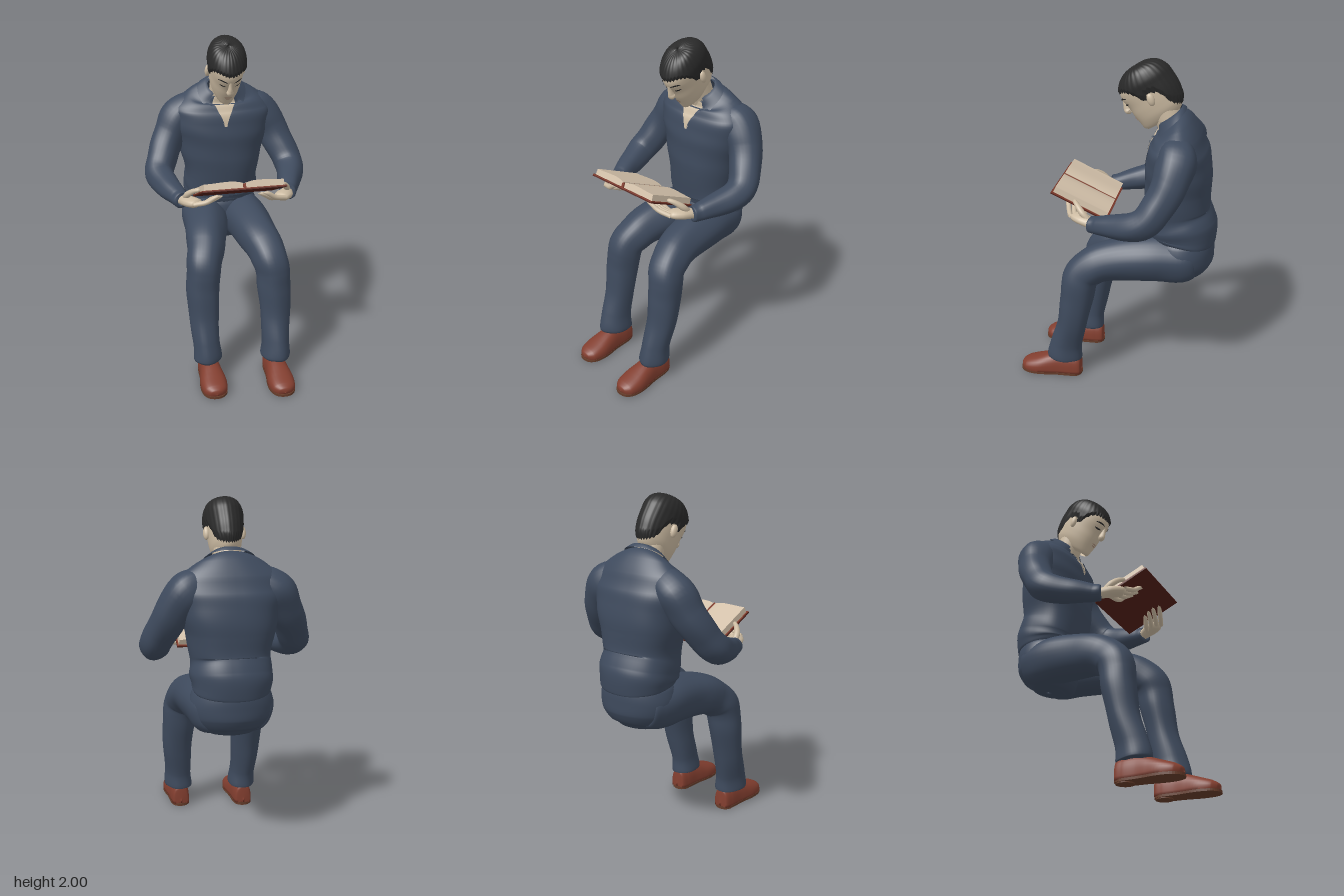
import * as THREE from 'three';
import { ParametricGeometry } from 'three/addons/geometries/ParametricGeometry.js';

const mat = (name, color, side = THREE.FrontSide) => {
  const m = new THREE.MeshStandardMaterial({ color, side });
  m.name = name;
  return m;
};
const V = (x, y, z) => new THREE.Vector3(x, y, z);
const lerp = THREE.MathUtils.lerp;
const power = (c, p) => Math.sign(c) * Math.abs(c) ** p;

// Sweep of rings [x, y, z, rx, ry]; returns a surface point function at(s, angle, offset).
// A squareness below 1 makes the ellipses boxier.
function sweep(sections, ref = V(1, 0, 0), fold = 0, square = 1) {
  const n = sections.length - 1;
  const path = new THREE.CatmullRomCurve3(sections.map(s => V(s[0], s[1], s[2])));
  const radii = new THREE.CatmullRomCurve3(sections.map(s => V(s[3], s[4], 0)), false, 'catmullrom', 0.5);
  let u = ref.clone();
  const frames = sections.map((_, i) => {
    const t = path.getTangent(i / n);
    u = u.clone().addScaledVector(t, -u.dot(t)).normalize();
    return u;
  });
  return (s, a, off = 0) => {
    s = Math.min(1, Math.max(0, s));
    const k = Math.min(n - 1, Math.floor(s * n)), t = path.getTangent(s), r = radii.getPoint(s);
    const x = frames[k].clone().lerp(frames[k + 1], s * n - k);
    x.addScaledVector(t, -x.dot(t)).normalize();
    const y = t.clone().cross(x);
    const f = 1 + fold * Math.sin(3 * a + 26 * s) * Math.sin(2 * a - 17 * s);
    return path.getPoint(s)
      .addScaledVector(x, (Math.max(r.x, 0.0005) * f + off) * power(Math.cos(a), square))
      .addScaledVector(y, (Math.max(r.y, 0.0005) * f + off) * power(Math.sin(a), square));
  };
}
const surface = (fn, nu, nv) => new ParametricGeometry((u, v, p) => p.copy(fn(u, v)), nu, nv);
const skinOf = (at, nu = 24, nv = 40) => surface((u, v) => at(v, u * Math.PI * 2), nu, nv);

export function createModel() {
  const root = new THREE.Group();
  root.name = 'seatedReader';
  const cloth = mat('blueCloth', 0x3e4a5d, THREE.DoubleSide);
  const skin = mat('skin', 0xcdbca3, THREE.DoubleSide);
  const hairMat = mat('blackHair', 0x292929, THREE.DoubleSide);
  const lip = mat('lips', 0xa88a76, THREE.DoubleSide);
  const leather = mat('shoeLeather', 0x823e2f);
  const soleMat = mat('shoeSole', 0x653c2a);
  const coverMat = mat('bookCover', 0x521f18);
  const liningMat = mat('bookLining', 0x7f3a2b);
  const paper = mat('paper', 0xd3c1aa);
  const add = (name, geo, m, parent = root) => {
    const mesh = new THREE.Mesh(geo, m);
    mesh.name = name;
    parent.add(mesh);
    return mesh;
  };

  // Shirt body
  const torso = sweep([
    [0, 0.925, -0.385, 0.1, 0.1], [0, 0.94, -0.385, 0.205, 0.185], [0, 0.98, -0.39, 0.225, 0.2],
    [0, 1.04, -0.38, 0.232, 0.2], [0, 1.12, -0.358, 0.225, 0.19], [0, 1.25, -0.355, 0.25, 0.193],
    [0, 1.38, -0.352, 0.28, 0.19], [0, 1.48, -0.345, 0.305, 0.173], [0, 1.56, -0.34, 0.295, 0.142],
    [0, 1.625, -0.325, 0.21, 0.11], [0, 1.665, -0.295, 0.09, 0.08],
  ], V(1, 0, 0), 0.02, 0.85);
  add('shirt', skinOf(torso, 64, 60), cloth);

  // Open neckline, placket and folded collar
  const front = -Math.PI / 2;
  const opening = w => 0.01 + 0.24 * w + 0.35 * w ** 4;
  add('openNeckline', surface((u, v) => torso(lerp(0.68, 1, v), front + (u * 2 - 1) * opening(v), 0.004), 12, 16), skin);
  add('placket', surface((u, v) => torso(lerp(0.1, 0.69, v), front + (u * 2 - 1) * 0.05, 0.004), 4, 30), cloth);
  add('collar', surface((u, v) => {
    const a = front + 0.6 + u * (Math.PI * 2 - 1.2);
    const tip = Math.pow(Math.abs(u * 2 - 1), 8);
    const p = torso(lerp(1, 0.965 - 0.04 * tip, v), a, lerp(0, 0.014, Math.sqrt(v)));
    p.y += 0.024 * (1 - v);
    return p;
  }, 48, 6), cloth);
  for (const s of [-1, 1]) {
    add('lapel', surface((u, v) => torso(lerp(0.69, 0.98, v), front + s * (opening(v * 0.95) + (u - 0.1) * 0.14 * v), 0.009), 4, 14), cloth);
  }

  // Neck
  add('neck', skinOf(sweep([[0, 1.53, -0.345, 0.08, 0.08], [0, 1.63, -0.3, 0.078, 0.079], [0, 1.76, -0.24, 0.077, 0.083]])), skin);

  // Head, bowed towards the book: rows are [height, front, back, half width]
  const head = new THREE.Group();
  head.name = 'head';
  head.position.set(0, 1.788, -0.184);
  head.rotation.x = 0.56;
  root.add(head);
  const rows = [
    [-0.157, 0.118, 0.02, 0.03], [-0.142, 0.132, -0.1, 0.058], [-0.1, 0.138, -0.145, 0.081],
    [-0.05, 0.145, -0.16, 0.092], [0, 0.147, -0.167, 0.098], [0.06, 0.157, -0.165, 0.102],
    [0.105, 0.145, -0.158, 0.102], [0.15, 0.104, -0.13, 0.086], [0.176, 0.052, -0.08, 0.056], [0.184, -0.015, -0.016, 0.0005],
  ];
  const heights = new THREE.CatmullRomCurve3(rows.map(r => V(r[0], 0, 0)), false, 'catmullrom', 0.5);
  const widths = new THREE.CatmullRomCurve3(rows.map(r => V(r[1], r[2], r[3])), false, 'catmullrom', 0.5);
  const headAt = (row, a, off = 0) => {
    const s = Math.min(1, Math.max(0, row / 9)), w = widths.getPoint(s);
    const out = off * Math.min(1, (1 - s) * 12);
    return V((w.z + out) * Math.sin(a), heights.getPoint(s).x + off * s * s,
      (w.x + w.y) / 2 + ((w.x - w.y) / 2 + out) * Math.cos(a));
  };
  add('face', surface((u, v) => headAt(v * 9, u * Math.PI * 2), 40, 40), skin, head);

  // Hair shell with a hairline that drops at the sideburns and nape
  const hairline = new THREE.SplineCurve([
    [0, 5.85], [0.7, 5.9], [1.1, 5.3], [1.4, 4.1], [1.6, 4.5], [1.95, 4.2], [2.25, 2.5], [2.7, 1.8], [3.15, 1.6],
  ].map(p => new THREE.Vector2(...p)));
  const lineAt = a => {
    let lo = 0, hi = 1;
    for (let i = 0; i < 18; i++) {
      const m = (lo + hi) / 2;
      if (hairline.getPoint(m).x < a) lo = m; else hi = m;
    }
    return hairline.getPoint(lo).y + 0.12 * Math.sin(a * 37);
  };
  add('hair', surface((u, v) => {
    const a = (u * 2 - 1) * Math.PI;
    const off = 0.012 * Math.min(1, 0.3 + v * 6) + 0.0005 * Math.sin(a * 29);
    return headAt(lerp(lineAt(Math.abs(a)), 9, v), a, off);
  }, 120, 28), hairMat, head);

  // Facial features
  add('nose', skinOf(sweep([
    [0, 0.06, 0.15, 0.009, 0.008], [0, 0.035, 0.154, 0.011, 0.014], [0, 0.005, 0.162, 0.015, 0.02],
    [0, -0.012, 0.164, 0.021, 0.02], [0, -0.024, 0.155, 0.012, 0.012], [0, -0.027, 0.15, 0.002, 0.002],
  ]), 14, 18), skin, head);
  const patch = (name, m, r0, r1, a0, a1, bow) => add(name, surface((u, v) => {
    const k = Math.sin(Math.PI * u);
    return headAt(lerp(r0, r1, 0.5 + (v - 0.5) * (0.25 + 0.75 * k)) + bow * k, lerp(a0, a1, u), 0.004);
  }, 10, 4), m, head);
  for (const s of [-1, 1]) {
    const c = s * 0.46;
    patch('eyebrow', hairMat, 4.92, 5.13, c - 0.28, c + 0.28, 0.12);
    patch('eye', hairMat, 4.38, 4.55, c - 0.18, c + 0.18, -0.04);
    const ear = add('ear', new THREE.SphereGeometry(1, 14, 10), skin, head);
    ear.scale.set(0.017, 0.038, 0.022);
    ear.position.set(s * 0.105, 0, -0.015);
    ear.rotation.set(-0.2, s * 0.3, 0);
  }
  patch('upperLip', lip, 2.5, 2.66, -0.24, 0.24, 0.03);
  patch('lowerLip', lip, 2.3, 2.47, -0.2, 0.2, -0.04);

  // Seat of the trousers
  add('trouserSeat', skinOf(sweep([
    [0, 0.685, -0.4, 0, 0], [0, 0.692, -0.4, 0.12, 0.09], [0, 0.72, -0.395, 0.18, 0.15], [0, 0.78, -0.388, 0.225, 0.187],
    [0, 0.86, -0.385, 0.24, 0.195], [0, 0.93, -0.385, 0.225, 0.192], [0, 0.98, -0.385, 0.19, 0.17],
  ]), 40, 30), cloth);

  // Shoe outline shared by soles
  const outline = new THREE.Shape();
  outline.moveTo(0, 0);
  outline.bezierCurveTo(0.085, 0, 0.05, 0.1, 0.07, 0.2);
  outline.bezierCurveTo(0.09, 0.3, 0.08, 0.395, 0, 0.395);
  outline.bezierCurveTo(-0.08, 0.395, -0.09, 0.3, -0.07, 0.2);
  outline.bezierCurveTo(-0.05, 0.1, -0.085, 0, 0, 0);

  const underBook = z => 1.1 + 0.4545 * (z - 0.03);

  for (const s of [-1, 1]) {
    const dz = s > 0 ? 0.035 : -0.02;
    const side = s > 0 ? 'left' : 'right';

    // Trouser leg
    add(side + 'Leg', skinOf(sweep([
      [0.1, 0.835, -0.5, 0.02, 0.02], [0.1, 0.835, -0.48, 0.1, 0.11], [0.11, 0.832, -0.4, 0.133, 0.14], [0.125, 0.833, -0.25, 0.14, 0.143],
      [0.15, 0.817, -0.05 + dz / 2, 0.127, 0.13], [0.175, 0.775, 0.08 + dz, 0.115, 0.116], [0.195, 0.722, 0.15 + dz, 0.107, 0.11],
      [0.207, 0.65, 0.176 + dz, 0.102, 0.106], [0.213, 0.54, 0.19 + dz, 0.1, 0.1], [0.215, 0.38, 0.22 + dz, 0.09, 0.09],
      [0.208, 0.22, 0.26 + dz, 0.08, 0.098], [0.205, 0.125, 0.275 + dz, 0.085, 0.107], [0.205, 0.12, 0.275 + dz, 0.05, 0.06],
    ].map(p => [p[0] * s, ...p.slice(1)]), V(1, 0, 0), 0.035), 32, 64), cloth);

    // Shoe: upper with a flattened base, sole and heel
    const shoe = new THREE.Group();
    shoe.name = side + 'Shoe';
    shoe.position.set(s * 0.2, 0, s > 0 ? 0.2 : 0.14);
    root.add(shoe);
    const upper = sweep([
      [0, 0.035, 0.002, 0, 0], [0, 0.035, 0.01, 0.045, 0.09], [0, 0.035, 0.06, 0.058, 0.108], [0, 0.035, 0.14, 0.062, 0.11],
      [0, 0.035, 0.2, 0.07, 0.097], [0, 0.035, 0.28, 0.079, 0.069], [0, 0.034, 0.35, 0.068, 0.045],
      [0, 0.032, 0.382, 0.037, 0.026], [0, 0.03, 0.392, 0, 0],
    ], V(1, 0, 0), 0, 0.85);
    add('shoeUpper', surface((u, v) => {
      const p = upper(v, u * Math.PI * 2);
      p.y = Math.max(p.y, 0.016);
      return p;
    }, 28, 36), leather, shoe);
    const sole = new THREE.ExtrudeGeometry(outline, { depth: 0.014, bevelEnabled: false, curveSegments: 14 });
    sole.rotateX(Math.PI / 2).translate(0, 0.02, 0);
    add('sole', sole, soleMat, shoe);
    const heel = add('heel', new THREE.CylinderGeometry(0.052, 0.052, 0.016, 20), soleMat, shoe);
    heel.position.set(0, 0.008, 0.056);

    // Sleeve, bent at the elbow
    add(side + 'Sleeve', skinOf(sweep([
      [0.12, 1.53, -0.35, 0.06, 0.06], [0.175, 1.53, -0.36, 0.098, 0.098], [0.25, 1.485, -0.365, 0.115, 0.115], [0.318, 1.38, -0.34, 0.102, 0.102],
      [0.376, 1.26, -0.28, 0.093, 0.093], [0.408, 1.172, -0.2, 0.087, 0.087], [0.372, 1.132, -0.06, 0.073, 0.073],
      [0.332, 1.112, 0.06, 0.054, 0.054], [0.32, 1.107, 0.105, 0.047, 0.047], [0.318, 1.107, 0.11, 0.03, 0.03],
    ].map(p => [p[0] * s, ...p.slice(1)]), V(0, 0, 1), 0.035), 28, 50), cloth);

    // Hand holding the book from below
    const hand = new THREE.Group();
    hand.name = side + 'Hand';
    root.add(hand);
    const digit = (name, pts) => add(name, skinOf(sweep(pts.map(p => [p[0] * s, ...p.slice(1)]), V(0, 1, 0)), 12, 16), skin, hand);
    digit('palm', [[0.32, 1.107, 0.06, 0.033, 0.035], [0.308, 1.112, 0.11, 0.03, 0.038], [0.282, 1.12, 0.16, 0.03, 0.05],
      [0.25, 1.125, 0.205, 0.024, 0.045], [0.235, 1.13, 0.222, 0.004, 0.01]]);
    for (let i = 0; i < 4; i++) {
      const z = 0.14 + i * 0.032, x = 0.1 + 0.018 * Math.abs(i - 1.6);
      digit('finger', [[0.27, 1.105 + i * 0.008, z, 0.014, 0.014], [0.2, underBook(z) - 0.045, z + 0.025, 0.0145, 0.0145],
        [x + 0.025, underBook(z + 0.04) - 0.03, z + 0.04, 0.012, 0.012], [x, underBook(z + 0.045) - 0.026, z + 0.045, 0.003, 0.003]]);
    }
    digit('thumb', [[0.305, 1.125, 0.12, 0.016, 0.016], [0.295, 1.165, 0.16, 0.019, 0.019],
      [0.265, 1.197, 0.195, 0.015, 0.015], [0.238, 1.208, 0.215, 0.012, 0.012], [0.228, 1.209, 0.222, 0.003, 0.003]]);
  }

  // Open book
  const book = new THREE.Group();
  book.name = 'book';
  book.position.set(0, 1.172, 0.195);
  book.rotation.x = -0.426;
  root.add(book);
  const slab = (name, w, h, d, y, m) => { add(name, new THREE.BoxGeometry(w, h, d), m, book).position.y = y; };
  slab('outerCover', 0.484, 0.006, 0.362, 0.003, coverMat);
  slab('coverLining', 0.482, 0.006, 0.36, 0.009, liningMat);
  slab('spine', 0.016, 0.028, 0.352, 0.023, liningMat);
  for (const s of [-1, 1]) {
    const leaf = new THREE.Shape();
    leaf.moveTo(s * 0.008, 0.011);
    leaf.lineTo(s * 0.232, 0.011);
    leaf.lineTo(s * 0.228, 0.047);
    leaf.bezierCurveTo(s * 0.15, 0.046, s * 0.07, 0.064, s * 0.008, 0.04);
    const geo = new THREE.ExtrudeGeometry(leaf, { depth: 0.338, bevelEnabled: false, curveSegments: 14 });
    add('pages', geo.translate(0, 0, -0.169), paper, book);
  }
  return root;
}
